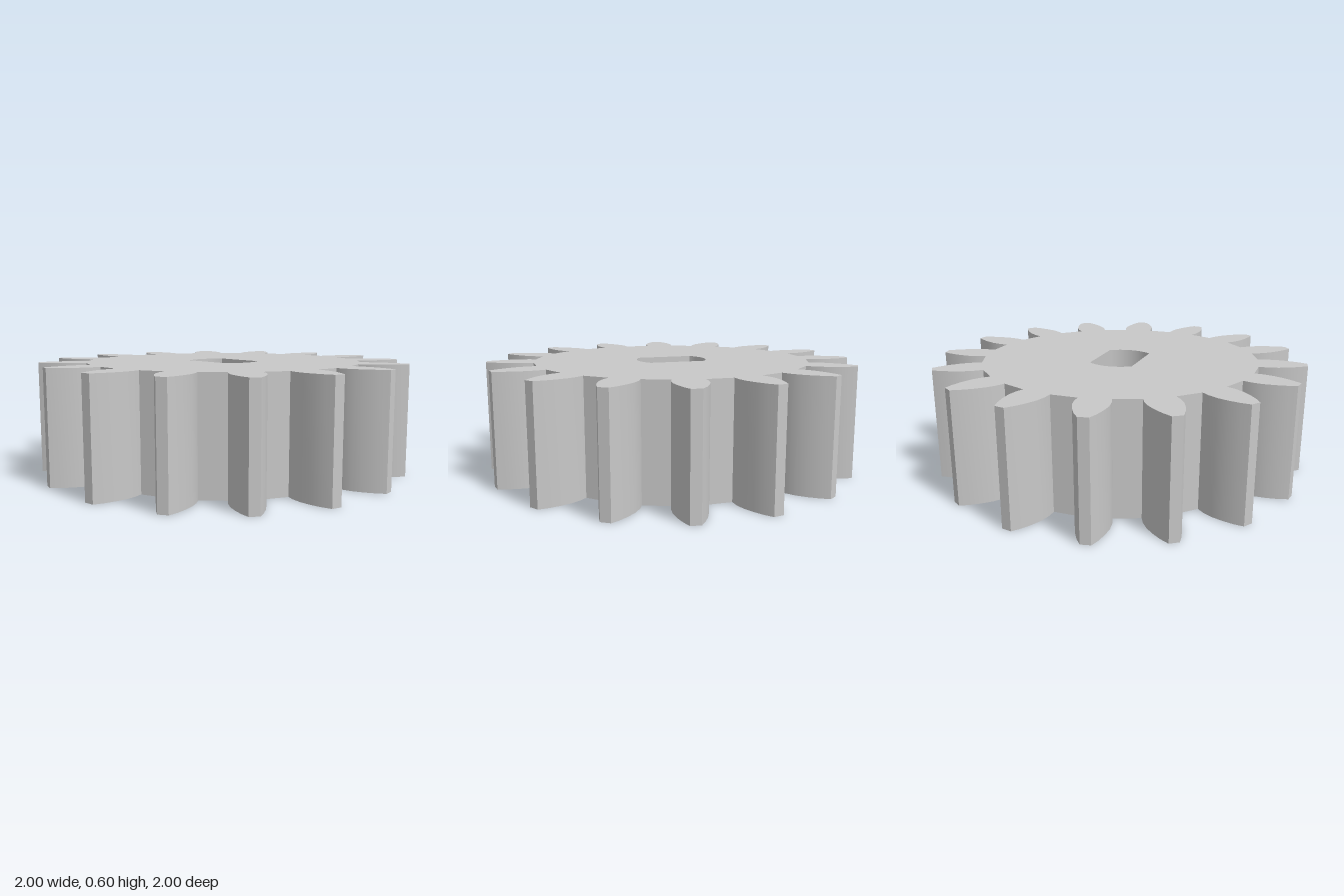
import * as THREE from 'three';
import { toCreasedNormals } from 'three/addons/utils/BufferGeometryUtils.js';

const TEETH = 16;
const HEIGHT = 0.6;

// One flank, from the root of a gap out to the tooth tip (sideways, outward)
const FLANK = [
  [0.07, 0.755], [0.072, 0.8], [0.085, 0.855],
  [0.11, 0.91], [0.14, 0.96], [0.172, 1.0],
];

// Closed outline: each gap is a flank going in and its mirror going out
function gearOutline() {
  const gap = [
    ...FLANK.map(([u, v]) => new THREE.Vector2(u, v)).reverse(),
    ...FLANK.map(([u, v]) => new THREE.Vector2(-u, v)),
  ];
  const origin = new THREE.Vector2();
  const points = [];
  for (let i = 0; i < TEETH; i++) {
    const angle = (i / TEETH) * Math.PI * 2;
    points.push(...gap.map((p) => p.clone().rotateAround(origin, angle)));
  }
  return new THREE.Shape(points);
}

// Shaft hole: a circle cut by two parallel flats
function shaftHole(radius, halfWidth) {
  const a = Math.acos(halfWidth / radius);
  const hole = new THREE.Path();
  hole.absarc(0, 0, radius, a, Math.PI - a, false);
  hole.absarc(0, 0, radius, Math.PI + a, Math.PI * 2 - a, false);
  hole.closePath();
  return hole;
}

export function createModel() {
  const group = new THREE.Group();
  group.name = 'gear';

  const greyMetal = new THREE.MeshStandardMaterial({ color: 0xc8c8c8 });
  greyMetal.name = 'grey metal';

  // Gear body, extruded and laid flat on y = 0
  const shape = gearOutline();
  shape.holes.push(shaftHole(0.193, 0.12));
  const geometry = new THREE.ExtrudeGeometry(shape, {
    depth: HEIGHT, bevelEnabled: false, curveSegments: 12,
  });
  geometry.rotateX(-Math.PI / 2);

  const body = new THREE.Mesh(toCreasedNormals(geometry, 0.5), greyMetal);
  body.name = 'gearBody';
  group.add(body);
  return group;
}
